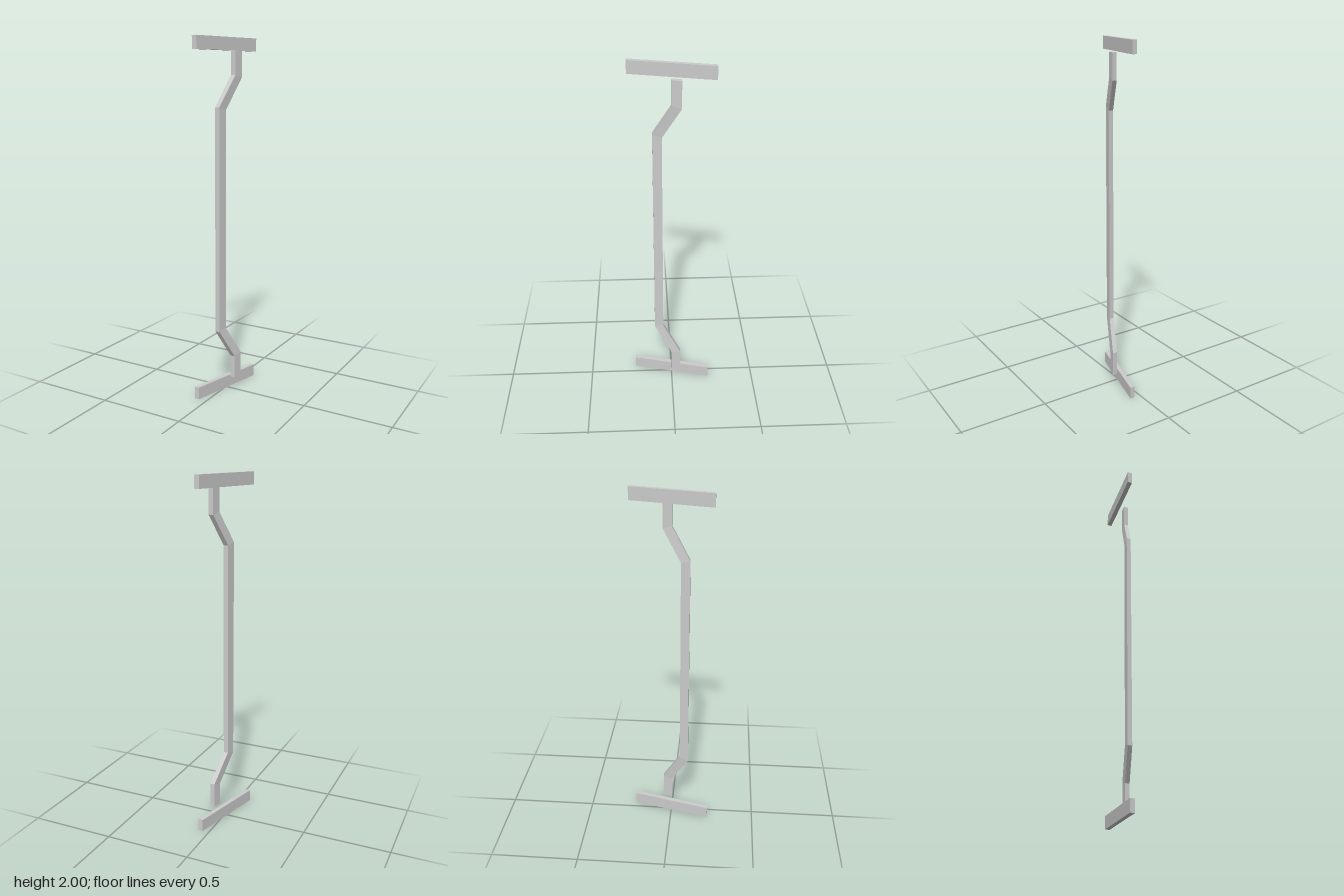
import * as THREE from 'three';

const SKEW = -0.25; // sideways drift in x per unit of z shared by all parts

const material = new THREE.MeshStandardMaterial({ color: 0xcccccc, flatShading: true });

// Box whose vertices are moved by a rule, then given flat normals
function shapedBox(name, w, h, d, rows, rule) {
  const box = new THREE.BoxGeometry(w, h, d, 1, rows, 1);
  const pos = box.attributes.position;
  const v = new THREE.Vector3();
  for (let i = 0; i < pos.count; i++) {
    rule(v.fromBufferAttribute(pos, i));
    pos.setXYZ(i, v.x, v.y, v.z);
  }
  const geometry = box.toNonIndexed();
  geometry.computeVertexNormals();
  const mesh = new THREE.Mesh(geometry, material);
  mesh.name = name;
  return mesh;
}

export function createModel() {
  const group = new THREE.Group();
  group.name = 'doubleCrankedHandle';

  // Slanted end bars, bottom and top
  for (const [name, y] of [['bottomBar', 0.035], ['topBar', 1.965]]) {
    const bar = shapedBox(name, 0.027, 0.07, 0.448, 1, (v) => { v.x += v.z * SKEW - 0.004; });
    bar.position.y = y;
    group.add(bar);
  }

  // Cranked rod: [y, centre x, centre z, mitre rise per z] from bottom to top
  const sections = [
    [0.07, 0.051, -0.025, 0],
    [0.207, 0.051, -0.025, -0.27],
    [0.378, 0.009, 0.075, -0.27],
    [1.622, 0.009, 0.075, 0.27],
    [1.793, 0.051, -0.025, 0.27],
    [1.93, 0.051, -0.025, 0],
  ];
  const rows = sections.length - 1;
  group.add(shapedBox('crankedRod', 0.027, rows, 0.05, rows, (v) => {
    const [y, cx, cz, mitre] = sections[Math.round(v.y + rows / 2)];
    v.set(v.x + v.z * SKEW + cx, y + v.z * mitre, v.z + cz);
  }));

  return group;
}
